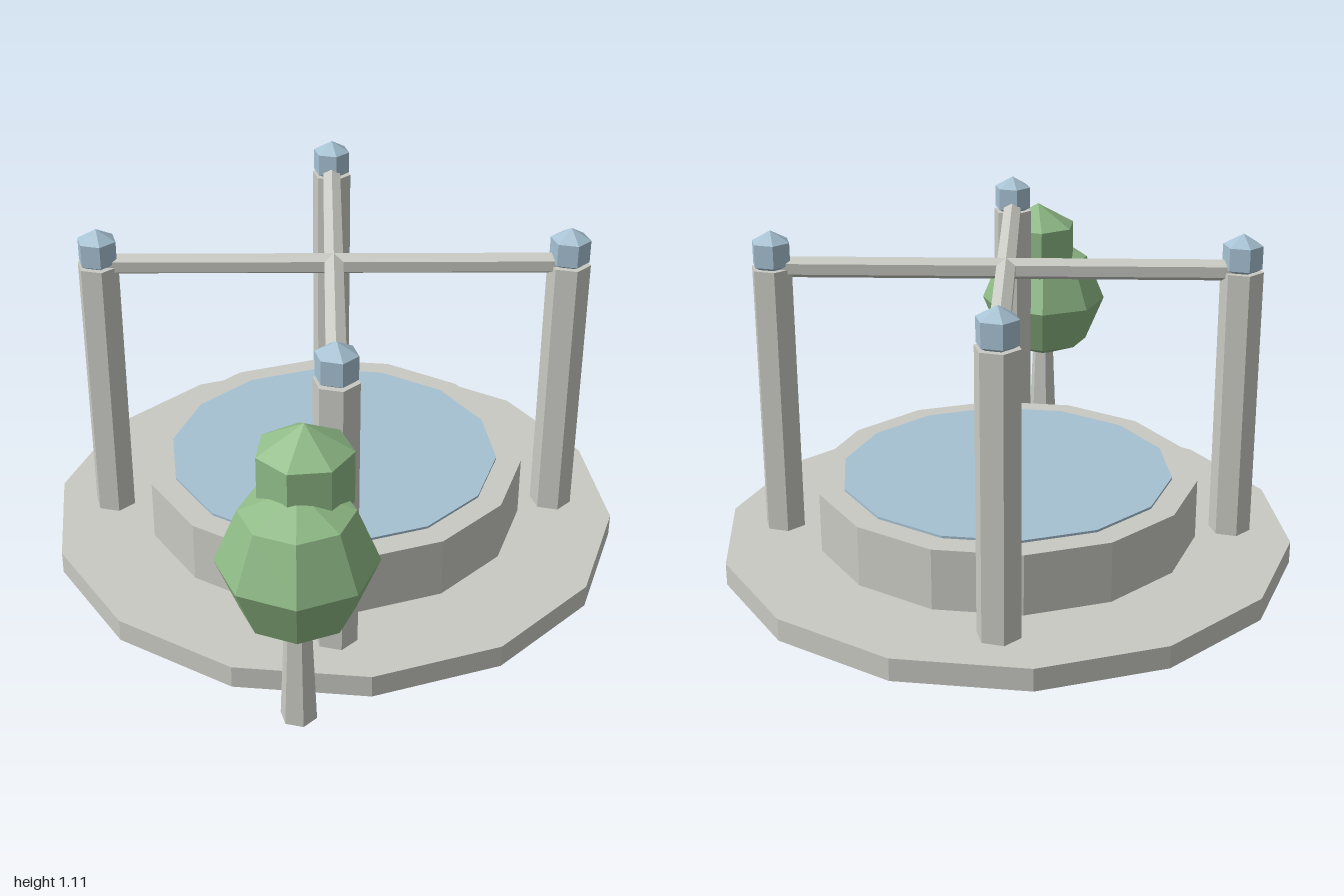
import * as THREE from 'three';

export function createModel() {
  const model = new THREE.Group();
  const paint = (name, color) => {
    const m = new THREE.MeshStandardMaterial({ color, flatShading: true });
    m.name = name;
    return m;
  };
  const stone = paint('stone grey', 0xcacac4);
  const blue = paint('water blue', 0xa6c1d2);
  const leaf = paint('leaf green', 0x8fba86);

  const add = (parent, name, geometry, material, x, y, z) => {
    const mesh = new THREE.Mesh(geometry, material);
    mesh.name = name;
    mesh.position.set(x, y, z);
    parent.add(mesh);
    return mesh;
  };
  // Upright prism with one corner towards +x
  const prism = (rTop, rBottom, height, sides) =>
    new THREE.CylinderGeometry(rTop, rBottom, height, sides, 1, false, Math.PI / 2);
  const drum = (parent, name, r, y0, y1, material) =>
    add(parent, name, prism(r, r, y1 - y0, 14), material, 0, (y0 + y1) / 2, 0);

  // Fountain: plinth, basin and a slightly raised water disc
  const fountain = new THREE.Group();
  fountain.name = 'fountain';
  fountain.position.x = 0.043;
  model.add(fountain);
  drum(fountain, 'plinth', 0.957, 0, 0.075, stone);
  drum(fountain, 'basin', 0.64, 0.075, 0.279, stone);
  drum(fountain, 'water', 0.556, 0.27, 0.287, blue);

  // Four hexagonal posts with faceted caps
  const postGeometry = prism(0.07, 0.07, 0.915, 6);
  const capGeometry = new THREE.SphereGeometry(0.075, 6, 3);
  for (const x of [-0.535, 0.535]) {
    for (const z of [-0.535, 0.535]) {
      add(fountain, 'post', postGeometry, stone, x, 0.5275, z);
      add(fountain, 'postCap', capGeometry, blue, x, 1.033, z);
    }
  }

  // Two crossing beams along the diagonals
  const beamGeometry = prism(0.035, 0.035, 1.47, 6).rotateZ(Math.PI / 2);
  for (const turn of [-1, 1]) {
    add(fountain, 'crossBeam', beamGeometry, stone, 0, 0.987, 0).rotation.y = turn * Math.PI / 4;
  }

  // Tree beside the plinth
  const tree = new THREE.Group();
  tree.name = 'tree';
  tree.position.set(-0.765, 0, 0.65);
  model.add(tree);
  add(tree, 'trunk', prism(0.038, 0.056, 0.42, 6), stone, 0, 0.21, 0);
  add(tree, 'lowerFoliage', new THREE.SphereGeometry(0.235, 8, 4), leaf, 0, 0.565, 0);
  add(tree, 'upperFoliage', new THREE.SphereGeometry(0.163, 7, 3), leaf, 0.073, 0.797, -0.043)
    .rotation.y = Math.PI;

  return model;
}
